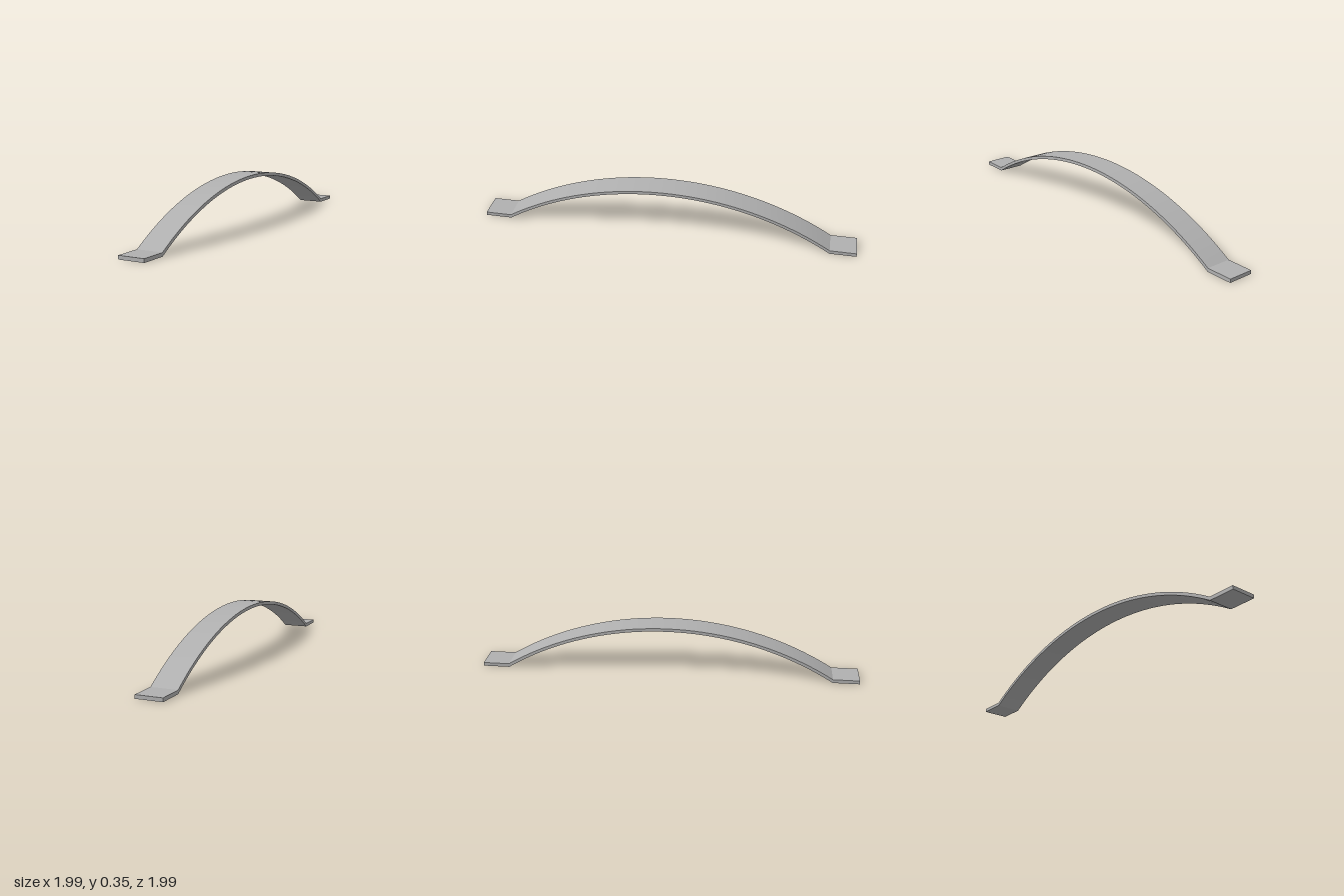
import * as THREE from 'three';
import { toCreasedNormals } from 'three/addons/utils/BufferGeometryUtils.js';

const HALF_LENGTH = 1.319; // to the end of each foot
const HALF_SPAN = 1.136;   // to the bend between arch and foot
const WIDTH = 0.182;
const FOOT_THICKNESS = 0.025;

// Circular arc through (-HALF_SPAN, base), (0, crown) and (HALF_SPAN, base)
function arcPoints(base, crown, segments = 40) {
  const rise = crown - base;
  const radius = (HALF_SPAN ** 2 + rise ** 2) / (2 * rise);
  const half = Math.asin(HALF_SPAN / radius);
  return Array.from({ length: segments + 1 }, (_, i) => {
    const a = -half + (2 * half * i) / segments;
    return new THREE.Vector2(radius * Math.sin(a), crown - radius + radius * Math.cos(a));
  });
}

export function createModel() {
  const metal = new THREE.MeshStandardMaterial({ color: 0xb0b0b0 });
  metal.name = 'grey metal';

  // Side profile: flat foot, arch, flat foot, then back along the top
  const profile = new THREE.Shape([
    new THREE.Vector2(-HALF_LENGTH, 0),
    ...arcPoints(0, 0.331),
    new THREE.Vector2(HALF_LENGTH, 0),
    new THREE.Vector2(HALF_LENGTH, FOOT_THICKNESS),
    ...arcPoints(FOOT_THICKNESS, 0.353).reverse(),
    new THREE.Vector2(-HALF_LENGTH, FOOT_THICKNESS),
  ]);

  // Strap of even width, smooth along the arch and sharp at the bends
  const strap = new THREE.ExtrudeGeometry(profile, { depth: WIDTH, bevelEnabled: false });
  strap.translate(0, 0, -WIDTH / 2);
  const archedStrap = new THREE.Mesh(toCreasedNormals(strap, 0.3), metal);
  archedStrap.name = 'archedStrap';
  archedStrap.rotation.y = Math.PI / 4; // lies on the diagonal

  const group = new THREE.Group();
  group.name = 'archedHandle';
  group.add(archedStrap);
  return group;
}
